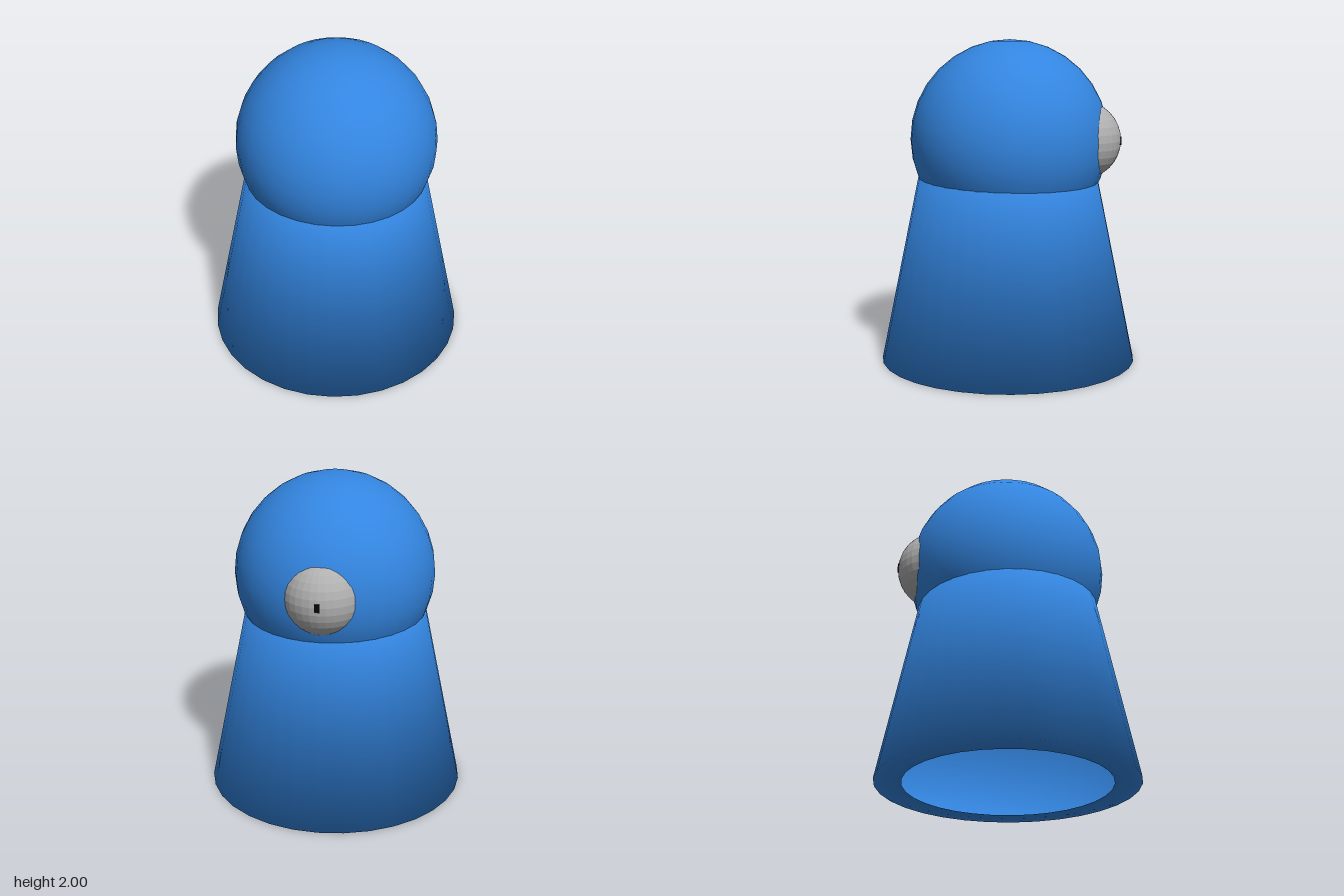
import * as THREE from 'three';

const blue = new THREE.MeshStandardMaterial({ color: 0x3385e0 });
const shellBlue = new THREE.MeshStandardMaterial({ color: 0x3385e0, side: THREE.DoubleSide });
const grey = new THREE.MeshStandardMaterial({ color: 0xb0b0b0, flatShading: true });
const black = new THREE.MeshStandardMaterial({ color: 0x050505 });

function part(name, geometry, material, x = 0, y = 0, z = 0) {
  const mesh = new THREE.Mesh(geometry, material);
  mesh.name = name;
  mesh.position.set(x, y, z);
  return mesh;
}

// Thin tapered shell with a flat rim turned inward at the foot, shaded smoothly over its edges
function bodyGeometry() {
  const profile = [[0.63, 0], [0.795, 0], [0.547, 1.2]];
  const normals = [[0, -1], [0.78, -0.63], [0.64, 0.77]];
  const sides = 32;
  const geo = new THREE.LatheGeometry(profile.map(([r, y]) => new THREE.Vector2(r, y)), sides);
  const normal = geo.attributes.normal;
  for (let i = 0; i <= sides; i++) {
    const a = (i / sides) * Math.PI * 2;
    normals.forEach(([r, y], j) =>
      normal.setXYZ(i * profile.length + j, r * Math.sin(a), y, r * Math.cos(a)));
  }
  return geo;
}

export function createModel() {
  const model = new THREE.Group();
  model.name = 'figure';

  // The head closes the top of the hollow body
  model.add(part('body', bodyGeometry(), shellBlue));
  model.add(part('head', new THREE.SphereGeometry(0.612, 32, 16), blue, 0.004, 1.388, -0.011));

  // Single faceted eye set into the back of the head, with a tiny pupil at its tip
  model.add(part('eye', new THREE.SphereGeometry(0.24, 32, 16), grey, 0.01, 1.39, -0.46));
  model.add(part('pupil', new THREE.BoxGeometry(0.03, 0.05, 0.03), black, 0.01, 1.39, -0.687));

  return model;
}
